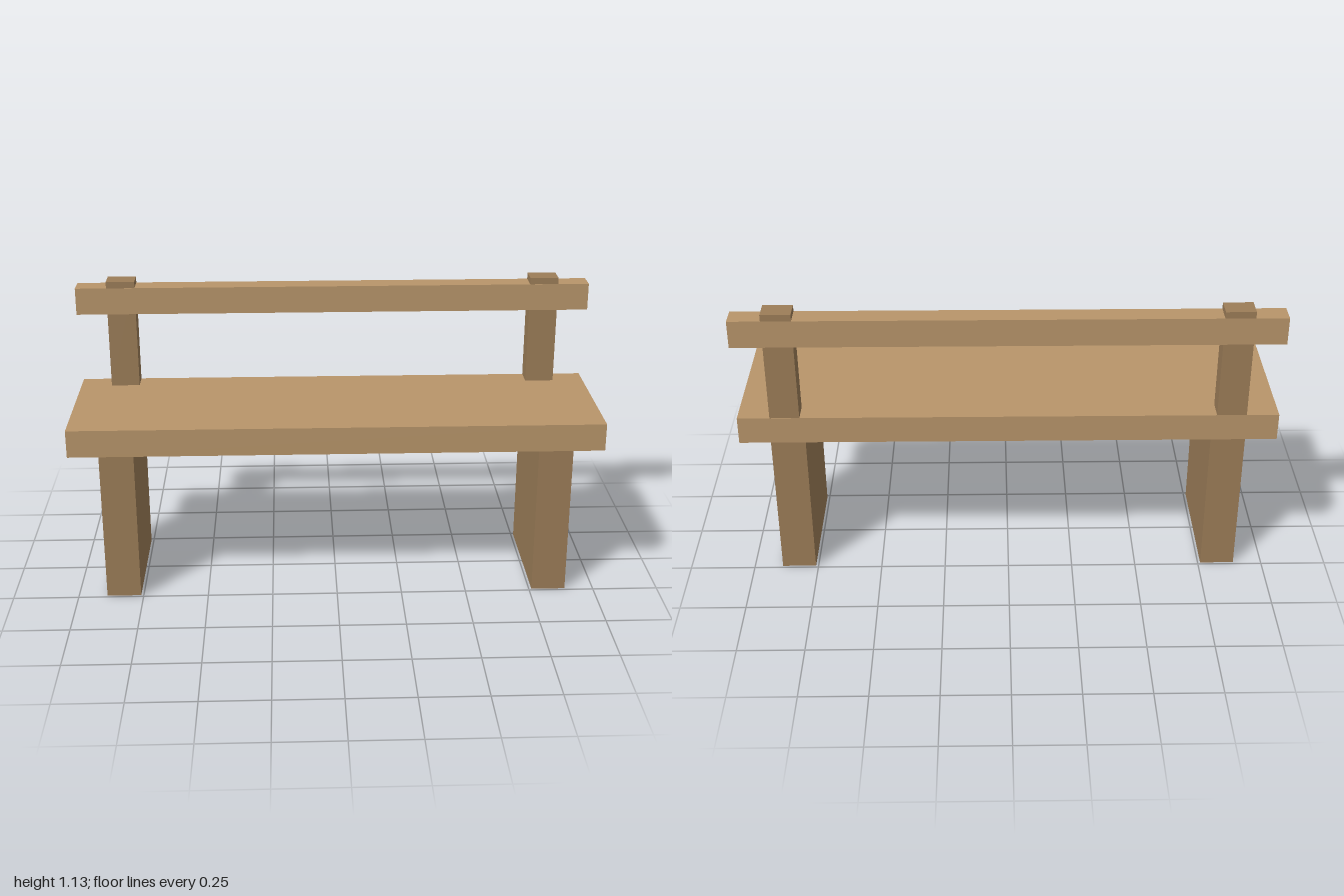
import * as THREE from 'three';

export function createModel() {
  const bench = new THREE.Group();
  bench.name = 'bench';

  const plankWood = new THREE.MeshStandardMaterial({ color: 0xb8956a });
  const frameWood = new THREE.MeshStandardMaterial({ color: 0x9c7d58 });

  // Box spanning the given [min, max] ranges
  function addBox(name, material, [x0, x1], [y0, y1], [z0, z1]) {
    const mesh = new THREE.Mesh(new THREE.BoxGeometry(x1 - x0, y1 - y0, z1 - z0), material);
    mesh.position.set((x0 + x1) / 2, (y0 + y1) / 2, (z0 + z1) / 2);
    mesh.name = name;
    bench.add(mesh);
  }

  // Long planks
  addBox('seat', plankWood, [-1, 1], [0.6, 0.705], [-0.28, 0.28]);
  addBox('backRail', plankWood, [-1, 1], [1.0, 1.105], [-0.28, -0.2]);

  // Slab legs and back posts, mirrored; posts sit a hair inside the rail faces
  for (const [side, s] of [['left', 1], ['right', -1]]) {
    const span = (a, b) => (s > 0 ? [a, b] : [-b, -a]);
    addBox(side + 'Leg', frameWood, span(0.76, 0.89), [0, 0.6], [-0.24, 0.24]);
    addBox(side + 'BackPost', frameWood, span(0.77, 0.88), [0.705, 1.13], [-0.279, -0.201]);
  }

  return bench;
}
